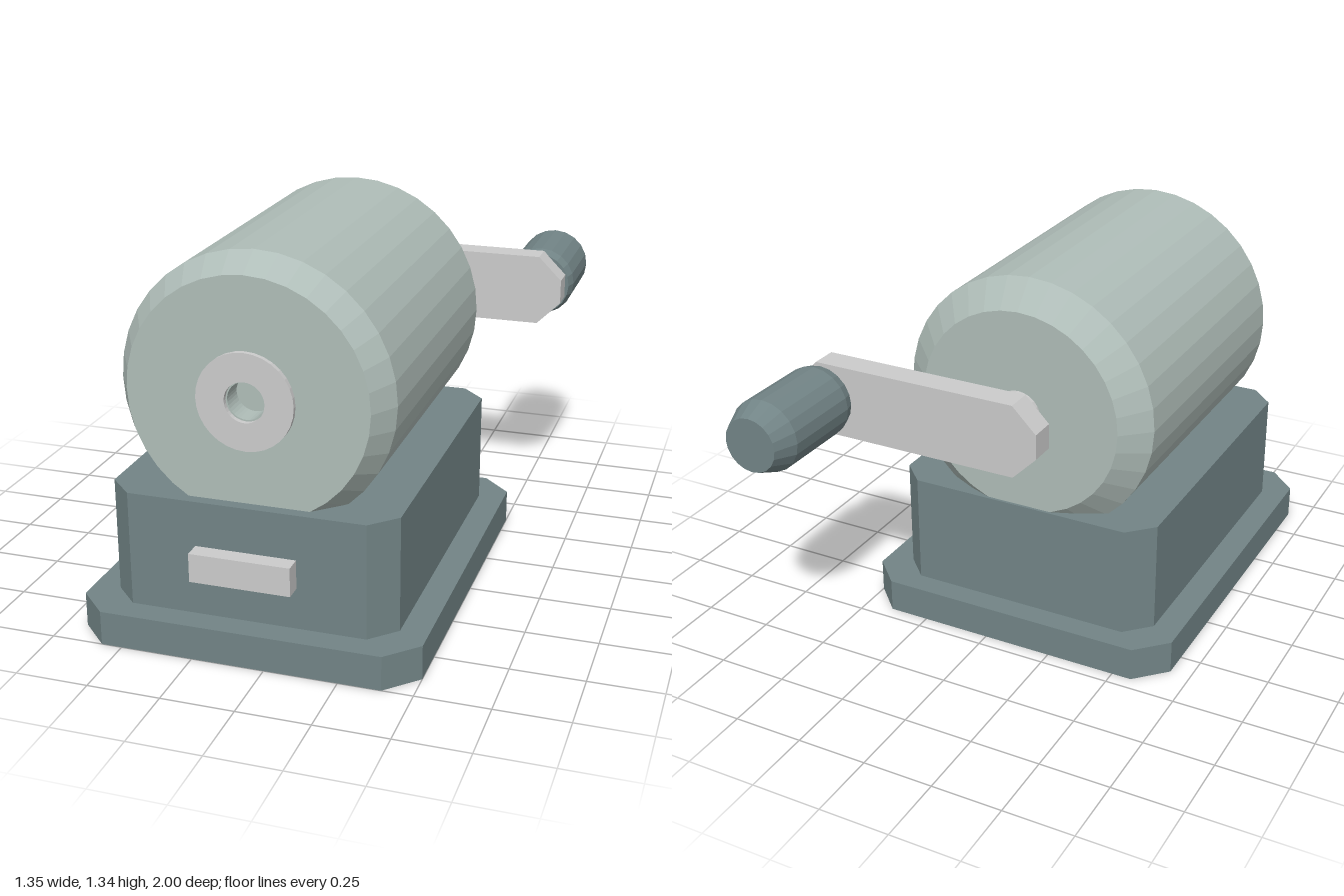
import * as THREE from 'three';

const AXIS_X = -0.088, AXIS_Y = 0.87;

const mat = (color) => new THREE.MeshStandardMaterial({ color, flatShading: true });

// Rectangle with cut corners, centred on the origin
function chamferedRect(w, h, c) {
  const x = w / 2, y = h / 2;
  return new THREE.Shape([
    [-x + c, -y], [x - c, -y], [x, -y + c], [x, y - c],
    [x - c, y], [-x + c, y], [-x, y - c], [-x, -y + c],
  ].map(([a, b]) => new THREE.Vector2(a, b)));
}

const extrude = (shape, depth) =>
  new THREE.ExtrudeGeometry(shape, { depth, bevelEnabled: false, curveSegments: 16 });

// Turned part along z; profile is [radius, z], running from back to front
function turned(profile, segments) {
  const points = profile.map(([r, z]) => new THREE.Vector2(r, z));
  return new THREE.LatheGeometry(points, segments).rotateX(Math.PI / 2);
}

export function createModel() {
  const group = new THREE.Group();
  const housing = mat(0x728486), drumPaint = mat(0xafbdb8), metal = mat(0xcccccc);

  function add(name, geometry, material, x, y, z) {
    const mesh = new THREE.Mesh(geometry, material);
    mesh.name = name;
    mesh.position.set(x, y, z);
    group.add(mesh);
  }

  // Stepped base with cut corners
  const slab = (w, d, c, h) => extrude(chamferedRect(w, d, c), h).rotateX(-Math.PI / 2);
  add('basePlate', slab(1.176, 1.45, 0.105, 0.12), housing, AXIS_X, 0, 0.275);
  add('baseBlock', slab(0.985, 1.275, 0.086, 0.4), housing, AXIS_X, 0.12, 0.2725);
  add('frontTab', new THREE.BoxGeometry(0.345, 0.1, 0.06), metal, AXIS_X, 0.314, 0.94);

  // Drum with bevelled ends and a blind hole in the front
  add('drum', turned([
    [0, -0.355], [0.37, -0.355], [0.465, -0.27], [0.465, 0.775],
    [0.407, 0.87], [0.063, 0.87], [0.063, 0.79], [0, 0.79],
  ], 36), drumPaint, AXIS_X, AXIS_Y, 0);

  // Ring around the hole
  const ring = new THREE.Shape().absarc(0, 0, 0.164, 0, Math.PI * 2);
  ring.holes.push(new THREE.Path().absarc(0, 0, 0.068, 0, Math.PI * 2, true));
  add('holeRing', extrude(ring, 0.017), metal, AXIS_X, AXIS_Y, 0.87);

  // Crank: shaft, arm and grip
  add('crankShaft', turned([[0, -0.51], [0.086, -0.51], [0.086, -0.345], [0, -0.345]], 24),
    metal, AXIS_X, AXIS_Y, 0);
  add('crankArm', extrude(chamferedRect(0.925, 0.26, 0.086), 0.093), metal, 0.183, 0.895, -0.593);
  add('crankGrip', turned([
    [0, -1], [0.096, -1], [0.129, -0.92], [0.129, -0.63], [0.117, -0.59], [0, -0.59],
  ], 20), housing, 0.543, 0.895, 0);

  return group;
}
